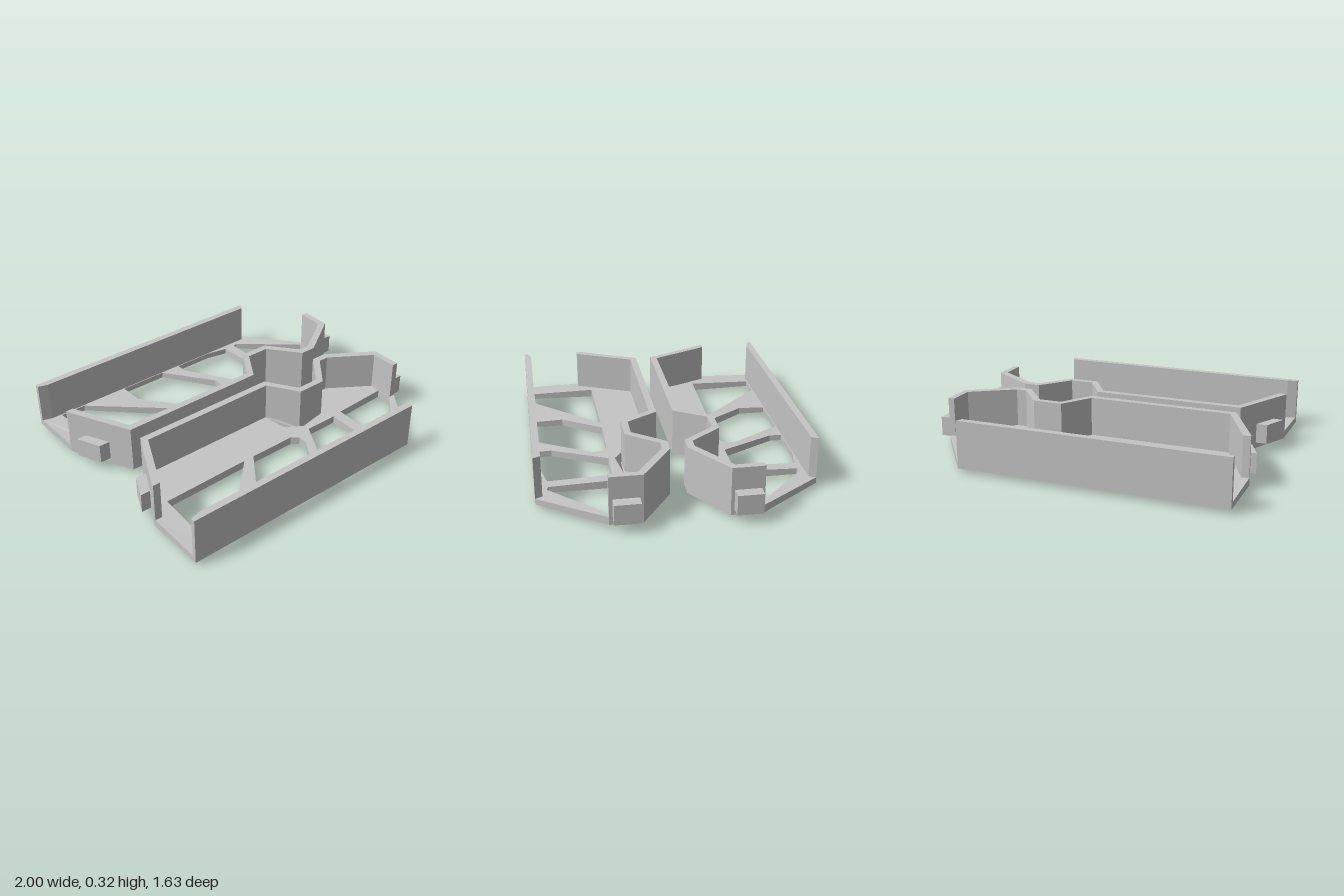
import * as THREE from 'three';

const BASE = 0.03, FLOOR = 0.08, RIM = 0.32;

export function createModel() {
  const model = new THREE.Group();
  const grey = new THREE.MeshStandardMaterial({ color: 0xc5c5c5 });
  grey.name = 'plain grey';

  // Outer plan line of the inner wall, and the matching inside line
  const outer = [[-0.99, 0.44], [-0.80, 0.05], [0.13, 0.05], [0.25, 0.24], [0.395, 0.24],
    [0.545, 0.05], [0.645, 0.05], [0.93, 0.24], [0.93, 0.43]];
  const inner = [[0.89, 0.43], [0.89, 0.265], [0.63, 0.093], [0.565, 0.093], [0.415, 0.28],
    [0.23, 0.28], [0.11, 0.093], [-0.775, 0.093], [-0.945, 0.45], [-0.99, 0.45]];

  // Openings in the floor that leave the slanted braces
  const holes = [
    [[-0.85, 0.365], [-0.28, 0.355], [-0.70, 0.765], [-0.865, 0.765]],
    [[-0.21, 0.355], [0.09, 0.355], [0.13, 0.39], [0.13, 0.45], [-0.08, 0.768], [-0.39, 0.768], [-0.39, 0.60]],
    [[0.235, 0.36], [0.45, 0.36], [0.45, 0.74], [0.31, 0.768], [0.055, 0.768], [0.055, 0.695]],
    [[0.52, 0.35], [0.885, 0.335], [0.885, 0.435], [0.55, 0.745], [0.52, 0.735]],
  ];

  // Rim of the small dip in the floor beside the notch
  const dip = [[0.11, 0.10], [0.13, 0.25], [0.24, 0.32], [0.45, 0.29], [0.40, 0.26], [0.23, 0.262]];

  for (const side of [1, -1]) {
    const tray = new THREE.Group();
    tray.name = side > 0 ? 'frontTray' : 'backTray';

    // Mirrored outlines are reversed so that every outline turns the same way
    const points = (list) => {
      const out = list.map(([x, z]) => new THREE.Vector2(x, z * side));
      return side > 0 ? out : out.reverse();
    };

    const add = (name, geometry) => {
      const mesh = new THREE.Mesh(geometry, grey);
      mesh.name = name;
      tray.add(mesh);
    };

    // Upright prism over a plan outline
    const prism = (plan, y0, y1, cuts = []) => {
      const shape = new THREE.Shape(points(plan));
      shape.holes = cuts.map((c) => new THREE.Path(points(c)));
      return new THREE.ExtrudeGeometry(shape, { depth: y1 - y0, bevelEnabled: false })
        .rotateX(Math.PI / 2).translate(0, y1, 0);
    };

    // Floor plate, thinning slightly toward the outer wall
    const floor = prism([...outer, [0.645, 0.815], [-0.99, 0.815]], BASE, FLOOR, [...holes, dip]);
    const pos = floor.attributes.position;
    for (let i = 0; i < pos.count; i++) {
      if (pos.getY(i) > 0.05) {
        const t = THREE.MathUtils.clamp((Math.abs(pos.getZ(i)) - 0.36) / 0.41, 0, 1);
        pos.setY(i, FLOOR - 0.014 * t);
      }
    }
    floor.computeVertexNormals();
    add('floor', floor);

    // Dip: a sunken fan on top and a matching shallow point below
    const coords = [];
    const fan = (apex, y, up) => dip.forEach(([x, z], i) => {
      const [x2, z2] = dip[(i + 1) % dip.length];
      const edge = [[x, y, z * side], [x2, y, z2 * side]];
      if (up !== side > 0) edge.reverse();
      coords.push(apex[0], apex[1], apex[2] * side, ...edge[0], ...edge[1]);
    });
    fan([0.225, 0.035, 0.282], FLOOR, true);
    fan([0.24, 0.004, 0.277], BASE, false);
    const dipGeometry = new THREE.BufferGeometry();
    dipGeometry.setAttribute('position', new THREE.Float32BufferAttribute(coords, 3));
    dipGeometry.computeVertexNormals();
    add('floorDip', dipGeometry);

    // Walls
    add('notchedWall', prism([...outer, ...inner], BASE, RIM));
    add('outerWall', prism([[-0.99, 0.815], [0.645, 0.815], [0.625, 0.773], [-0.93, 0.773], [-0.99, 0.79]], BASE, RIM));

    // Connector tabs at both ends
    add('leftTab', prism([[-1, 0.335], [-0.93, 0.335], [-0.86, 0.19], [-0.935, 0.19]], 0.065, 0.185));
    add('rightTab', prism([[0.92, 0.26], [1, 0.26], [1, 0.41], [0.92, 0.41]], 0.065, 0.185));

    model.add(tray);
  }
  return model;
}
